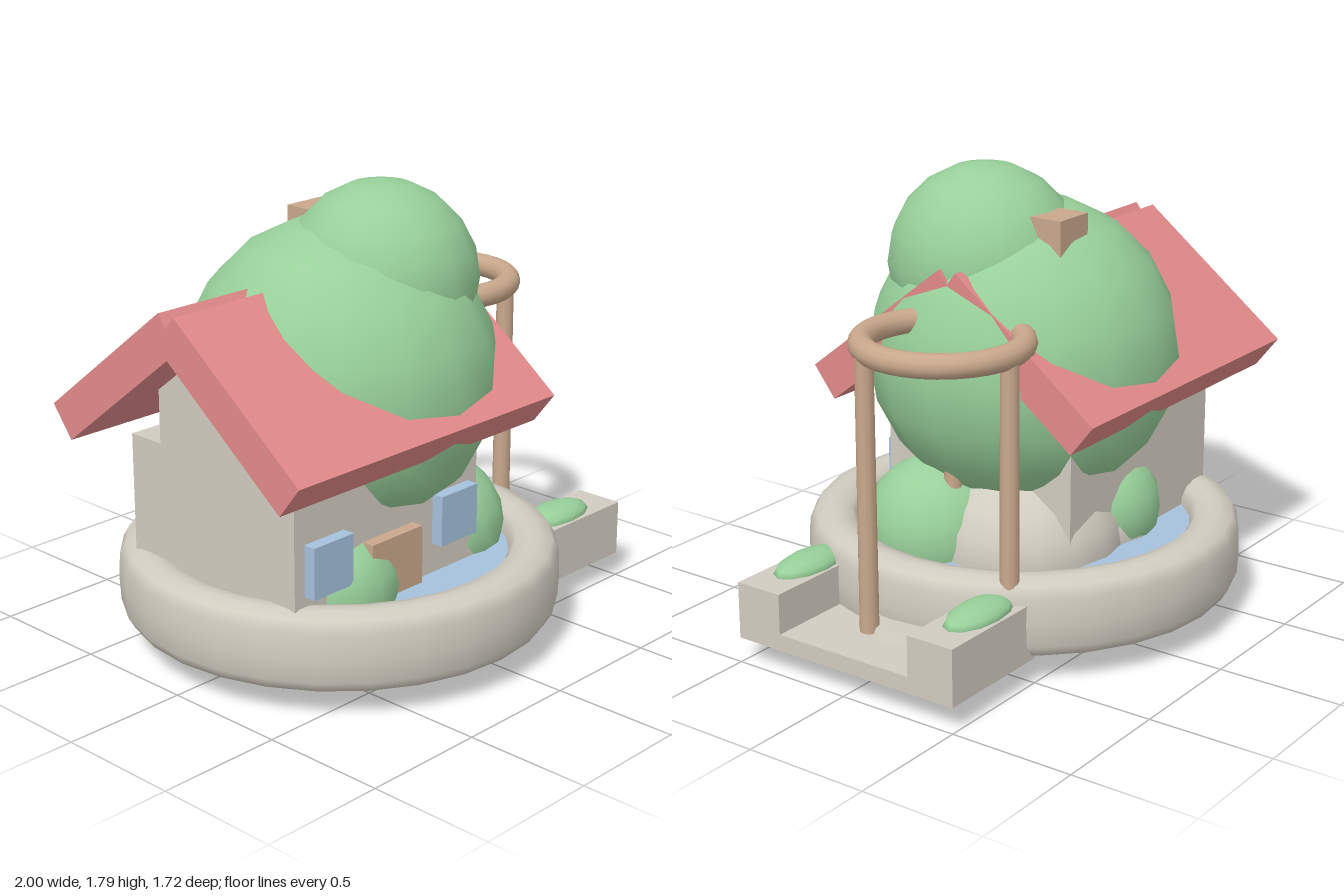
import * as THREE from 'three';

const paint = (name, color) => {
  const m = new THREE.MeshStandardMaterial({ color });
  m.name = name;
  return m;
};

export function createModel() {
  const model = new THREE.Group();
  model.name = 'treeHouse';
  const stone = paint('warm grey stone', 0xd1ccc0);
  const red = paint('roof red', 0xe28a8a);
  const green = paint('leaf green', 0x98d09a);
  const wood = paint('light wood', 0xc9a88c);
  const blue = paint('pale blue', 0xa6c1dc);

  const add = (name, geometry, material, x = 0, y = 0, z = 0) => {
    const mesh = new THREE.Mesh(geometry, material);
    mesh.name = name;
    mesh.position.set(x, y, z);
    model.add(mesh);
    return mesh;
  };
  // Box given by its limits on each axis
  const block = (name, material, [x0, x1], [y0, y1], [z0, z1]) =>
    add(name, new THREE.BoxGeometry(x1 - x0, y1 - y0, z1 - z0), material,
      (x0 + x1) / 2, (y0 + y1) / 2, (z0 + z1) / 2);
  // Rounded blob with separate radii
  const blob = (name, material, [x, y, z], [rx, ry, rz], w = 16, h = 10) =>
    add(name, new THREE.SphereGeometry(1, w, h), material, x, y, z).scale.set(rx, ry, rz);

  // Round basin with a soft rim
  const rim = [
    [0, 0.1], [0.7, 0.1], [0.78, 0.1], [0.83, 0.118], [0.855, 0.16], [0.86, 0.25],
    [0.855, 0.35], [0.83, 0.392], [0.78, 0.41], [0.74, 0.41], [0.69, 0.395],
    [0.665, 0.36], [0.66, 0.28],
  ].map(([r, y]) => new THREE.Vector2(r, y));
  add('basin', new THREE.LatheGeometry(rim, 28), stone, -0.14);
  const water = add('water', new THREE.CircleGeometry(0.67, 28), blue, -0.14, 0.33, 0);
  water.rotation.x = -Math.PI / 2;

  // Boulders in the basin
  blob('boulder', stone, [0, 0.333, -0.09], [0.4, 0.333, 0.4]);
  blob('boulder', stone, [-0.25, 0.32, -0.19], [0.3, 0.3, 0.3]);
  blob('boulder', stone, [-0.48, 0.25, 0.18], [0.2, 0.2, 0.2]);

  // Bushes around the house
  blob('bush', green, [0.22, 0.385, 0.17], [0.28, 0.28, 0.28]);
  blob('bush', green, [-0.46, 0.37, 0.28], [0.25, 0.25, 0.25]);
  blob('bush', green, [-0.28, 0.42, -0.27], [0.24, 0.24, 0.24]);

  // House body with a narrower gable block above
  block('houseWalls', stone, [-0.81, 0.17], [0.2, 0.87], [-0.43, 0.43]);
  const gable = new THREE.Shape([
    [-0.27, 0.86], [0.27, 0.86], [0.27, 1.08], [0, 1.29], [-0.27, 1.08],
  ].map(([x, y]) => new THREE.Vector2(x, y)));
  const gableMesh = add('gable',
    new THREE.ExtrudeGeometry(gable, { depth: 0.98, bevelEnabled: false }), stone, -0.81);
  gableMesh.rotation.y = Math.PI / 2;

  // Windows and door on the front wall
  for (const x of [-0.76, -0.08])
    block('window', blue, [x, x + 0.2], [0.45, 0.65], [0.42, 0.48]);
  block('door', wood, [-0.46, -0.19], [0.34, 0.57], [0.42, 0.48]);

  // Two crossing roof slabs, open along the ridge
  const pitch = Math.atan2(0.475, 0.61);
  for (const s of [1, -1]) {
    const slab = add('roofSlab', new THREE.BoxGeometry(1.36, 0.155, 0.773), red,
      -0.32, 1.161, s * 0.297);
    slab.rotation.x = s * pitch;
  }

  // Tree crown and chimney
  blob('lowerCrown', green, [-0.135, 1.05, 0], [0.61, 0.61, 0.61]);
  blob('upperCrown', green, [-0.015, 1.42, 0.1], [0.375, 0.375, 0.375]);
  block('chimney', wood, [-0.09, 0.09], [1.3, 1.64], [-0.32, -0.14]);

  // Landing with two side walls, each topped with a low hedge
  block('landingFloor', stone, [0.5, 1], [0.1, 0.165], [-0.5, 0.5]);
  for (const s of [1, -1]) {
    const z = s * 0.4;
    block('landingWall', stone, [0.5, 1], [0.1, 0.325], [z - 0.1, z + 0.1]);
    blob('hedge', green, [0.71, 0.325, z], [0.18, 0.052, 0.09], 12, 8);
  }
  add('steppingStone', new THREE.CylinderGeometry(0.18, 0.2, 0.04, 20), stone, 0.63, 0.183, -0.03);

  // Wooden hoop held up by three posts
  const hoop = add('hoop', new THREE.TorusGeometry(0.297, 0.047, 12, 32), wood, 0.535, 1.257, -0.115);
  hoop.rotation.x = Math.PI / 2;
  for (let i = 0; i < 3; i++) {
    const a = Math.PI / 6 + (i * Math.PI * 2) / 3;
    add('post', new THREE.CylinderGeometry(0.035, 0.037, 1.06, 12), wood,
      0.54 + 0.3 * Math.cos(a), 0.71, -0.115 + 0.3 * Math.sin(a));
  }
  return model;
}
